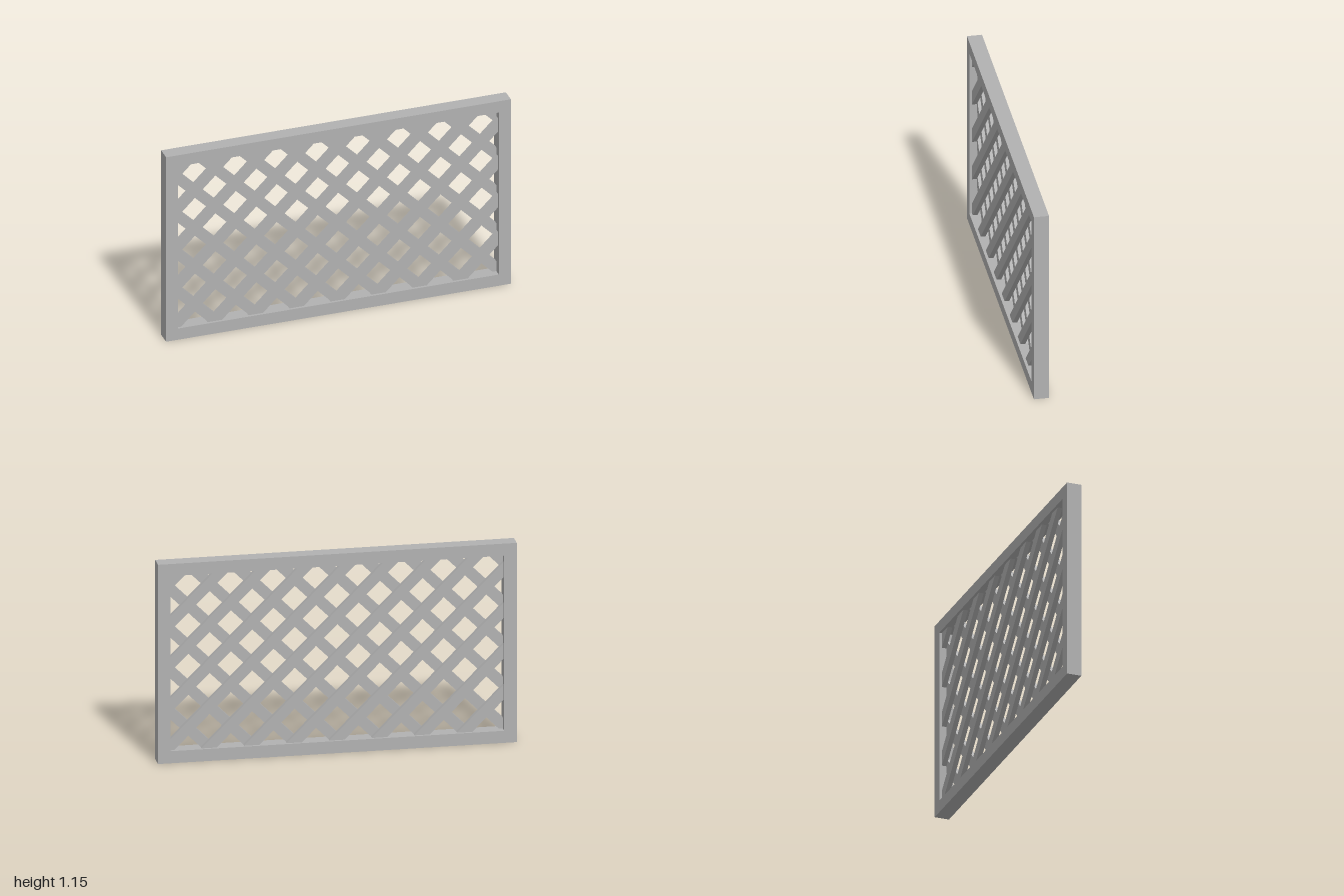
import * as THREE from 'three';

const W = 2, H = 1.155, DEPTH = 0.084, RAIL = 0.07;
const X = W / 2 - RAIL, BOTTOM = RAIL, TOP = H - RAIL;
const SPACING = 0.2374, SLAT_WIDTH = 0.06, SLAT_DEPTH = 0.027;

// Keep the part of a convex polygon where side(p) >= 0
function clip(points, side) {
  const out = [];
  points.forEach((a, i) => {
    const b = points[(i + 1) % points.length];
    const da = side(a), db = side(b);
    if (da >= 0) out.push(a);
    if ((da >= 0) !== (db >= 0)) out.push(a.clone().lerp(b, da / (da - db)));
  });
  return out;
}

// Outline of a diagonal slat through (x, BOTTOM), trimmed to the opening
function slatOutline(x, dir) {
  const h = SLAT_WIDTH / Math.SQRT2, L = 2;
  let pts = [[x - h - dir * L, -L], [x + h - dir * L, -L], [x + h + dir * L, L], [x - h + dir * L, L]]
    .map(([px, py]) => new THREE.Vector2(px, py + BOTTOM));
  pts = clip(pts, p => p.x + X);
  pts = clip(pts, p => X - p.x);
  pts = clip(pts, p => p.y - BOTTOM);
  return clip(pts, p => TOP - p.y);
}

export function createModel() {
  const model = new THREE.Group();
  model.name = 'latticePanel';
  const grey = new THREE.MeshStandardMaterial({ color: 0xb2b2b2 });
  grey.name = 'plain grey';

  // Rectangular frame with one opening
  const outer = new THREE.Shape([[-1, 0], [1, 0], [1, H], [-1, H]].map(p => new THREE.Vector2(...p)));
  outer.holes.push(new THREE.Path([[-X, BOTTOM], [-X, TOP], [X, TOP], [X, BOTTOM]].map(p => new THREE.Vector2(...p))));
  const frame = new THREE.Mesh(new THREE.ExtrudeGeometry(outer, { depth: DEPTH, bevelEnabled: false }), grey);
  frame.position.z = -DEPTH / 2;
  frame.name = 'frame';
  model.add(frame);

  // Two layers of crossing slats: rising to the right in front, to the left behind
  for (const dir of [1, -1]) {
    const layer = new THREE.Group();
    layer.name = dir > 0 ? 'frontSlats' : 'backSlats';
    for (let k = -8; k <= 3; k++) {
      const outline = slatOutline(dir * k * SPACING, dir);
      if (outline.length < 3) continue;
      const geometry = new THREE.ExtrudeGeometry(new THREE.Shape(outline), { depth: SLAT_DEPTH, bevelEnabled: false });
      const slat = new THREE.Mesh(geometry, grey);
      slat.position.z = dir > 0 ? 0 : -SLAT_DEPTH;
      slat.name = 'slat';
      layer.add(slat);
    }
    model.add(layer);
  }
  return model;
}
